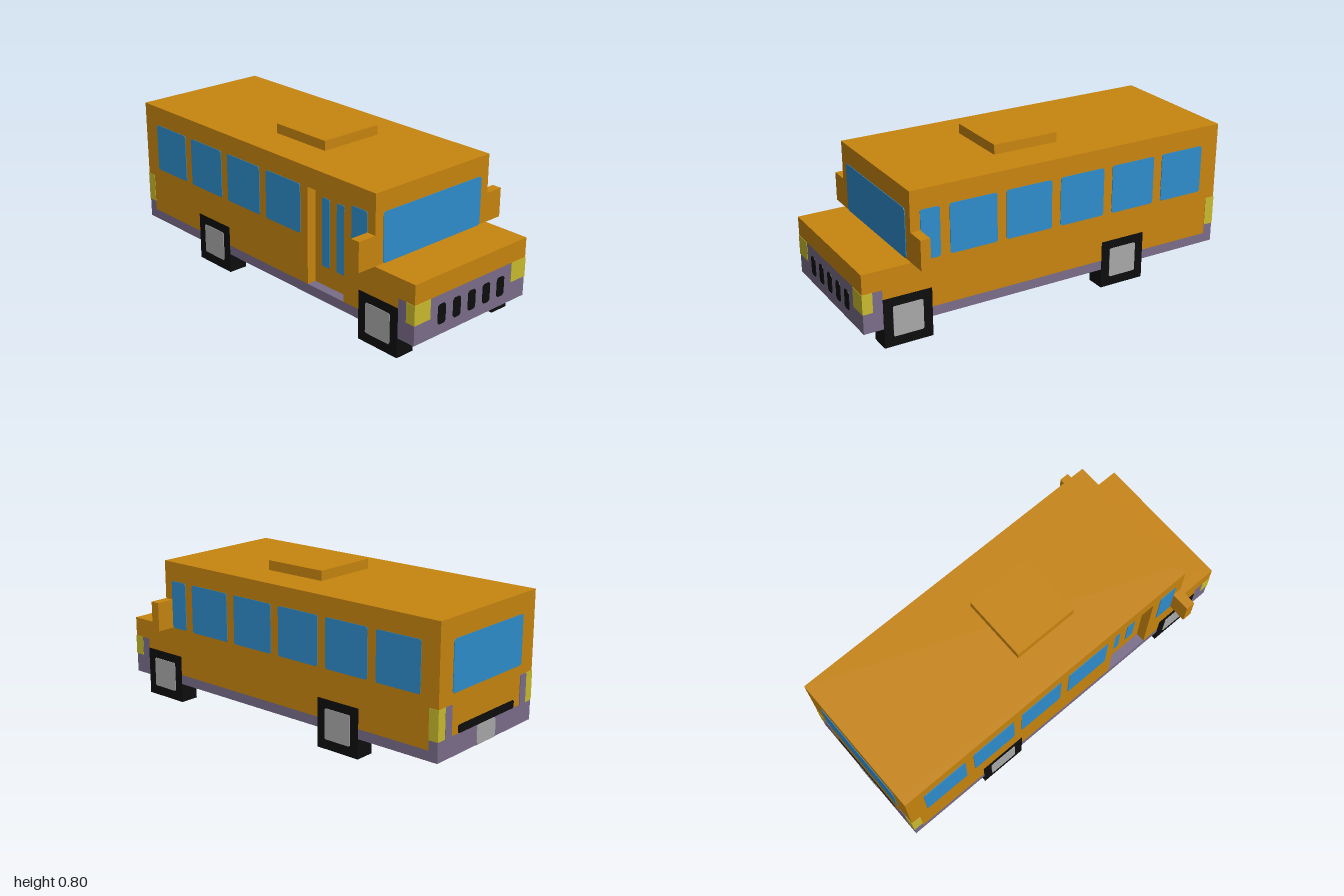
import * as THREE from 'three';

const mat = (name, color) => {
  const m = new THREE.MeshStandardMaterial({ color });
  m.name = name;
  return m;
};

export function createModel() {
  const bus = new THREE.Group();
  bus.name = 'bus';
  const orange = mat('orange paint', 0xc8850f);
  const purple = mat('purple trim', 0x7a6d8a);
  const blue = mat('blue glass', 0x2e8dcc);
  const yellow = mat('yellow lamp', 0xc9bb2f);
  const black = mat('black rubber', 0x0d0d0d);
  const grey = mat('grey metal', 0xa8a8a8);

  const add = (name, geometry, material) => {
    const mesh = new THREE.Mesh(geometry, material);
    mesh.name = name;
    bus.add(mesh);
    return mesh;
  };

  // Box given by its minimum and maximum corners
  const block = (name, material, x0, x1, y0, y1, z0, z1) =>
    add(name, new THREE.BoxGeometry(x1 - x0, y1 - y0, z1 - z0), material)
      .position.set((x0 + x1) / 2, (y0 + y1) / 2, (z0 + z1) / 2);

  // Side profile extruded across the bus
  const slab = (name, material, points, z0, z1) => {
    const shape = new THREE.Shape(points.map(([x, y]) => new THREE.Vector2(x, y)));
    const geometry = new THREE.ExtrudeGeometry(shape, { depth: z1 - z0, bevelEnabled: false });
    add(name, geometry.translate(0, 0, z0), material);
  };

  // Thin plate with cut corners; turn is its heading about y
  const plate = (name, material, turn, w, h, c, x, y, z) => {
    const a = w / 2, b = h / 2;
    const shape = new THREE.Shape([
      [-a + c, -b], [a - c, -b], [a, -b + c], [a, b - c],
      [a - c, b], [-a + c, b], [-a, b - c], [-a, -b + c],
    ].map(([u, v]) => new THREE.Vector2(u, v)));
    const mesh = add(name, new THREE.ExtrudeGeometry(shape, { depth: 0.003, bevelEnabled: false }), material);
    mesh.position.set(x, y, z);
    mesh.rotation.y = turn;
  };
  const LEFT = 0, RIGHT = Math.PI, FRONT = Math.PI / 2, REAR = -Math.PI / 2;

  // Body shell, with the door recess notched out of the outer layer
  const top = [[0.9, 0.15], [0.9, 0.3], [1, 0.3], [1, 0.4], [0.75, 0.4], [0.75, 0.75],
    [-1, 0.75], [-1, 0.2], [-0.95, 0.2], [-0.95, 0.15]];
  const notch = [[0.3, 0.15], [0.3, 0.65], [0.55, 0.65], [0.55, 0.15]];
  slab('body', orange, top, -0.375, 0.325);
  slab('doorSideBody', orange, [...top, ...notch], 0.325, 0.375);

  // Chassis skirt with front grille and rear bumper
  slab('skirt', purple, [[-1, 0.1], [1, 0.1], [1, 0.3], [0.9, 0.3], [0.9, 0.15],
    [-0.95, 0.15], [-0.95, 0.2], [-1, 0.2]], -0.375, 0.375);

  block('roofHatch', orange, -0.15, 0.2, 0.75, 0.8, -0.175, 0.175);

  // Side windows
  for (const [x, w] of [[-0.775, 0.25], [-0.475, 0.25], [-0.175, 0.25], [0.125, 0.25], [0.425, 0.25], [0.65, 0.1]]) {
    if (x !== 0.425) plate('sideWindow', blue, LEFT, w, 0.25, 0.008, x, 0.525, 0.375);
    plate('sideWindow', blue, RIGHT, w, 0.25, 0.008, x, 0.525, -0.375);
  }
  for (const x of [0.375, 0.475]) plate('doorWindow', blue, LEFT, 0.05, 0.35, 0.006, x, 0.425, 0.325);

  // Windscreen and rear window
  plate('windscreen', blue, FRONT, 0.65, 0.25, 0.01, 0.75, 0.525, 0);
  plate('rearWindow', blue, REAR, 0.55, 0.25, 0.01, -1, 0.525, 0);

  // Grille slots
  for (let i = -2; i <= 2; i++) plate('grilleSlot', black, FRONT, 0.05, 0.1, 0.01, 1, 0.203, i * 0.1);

  // Rear vent and number plate
  plate('rearVent', black, REAR, 0.45, 0.04, 0.008, -1, 0.22, 0);
  plate('rearPlate', grey, REAR, 0.15, 0.095, 0.01, -1, 0.15, 0);
  block('rearPlateEdge', grey, -1, -0.975, 0.098, 0.1, -0.075, 0.075);

  // Mirrors, lamps and wheels, mirrored on both sides
  const e = 0.002;
  for (const s of [-1, 1]) {
    const pair = (name, material, x0, x1, y0, y1, z0, z1) =>
      block(name, material, x0, x1, y0, y1, Math.min(s * z0, s * z1), Math.max(s * z0, s * z1));
    pair('mirror', orange, 0.7, 0.75, 0.4, 0.55, 0.375, 0.475);
    pair('headlight', yellow, 0.95, 1 + e, 0.2, 0.3, 0.275, 0.375 + e);
    pair('tailLight', yellow, -1 - e, -0.95, 0.2, 0.35, 0.325, 0.375 + e);
    plate('tailLightTrim', purple, REAR, 0.05, 0.15, 0.004, -1, 0.275, s * 0.3);
    for (const x of [-0.425, 0.775]) {
      pair('wheel', black, x - 0.125, x + 0.125, 0, 0.25, 0.275, 0.375 + e);
      plate('hubcap', grey, s > 0 ? LEFT : RIGHT, 0.155, 0.155, 0.006, x, 0.128, s * (0.375 + e));
    }
  }
  return bus;
}
